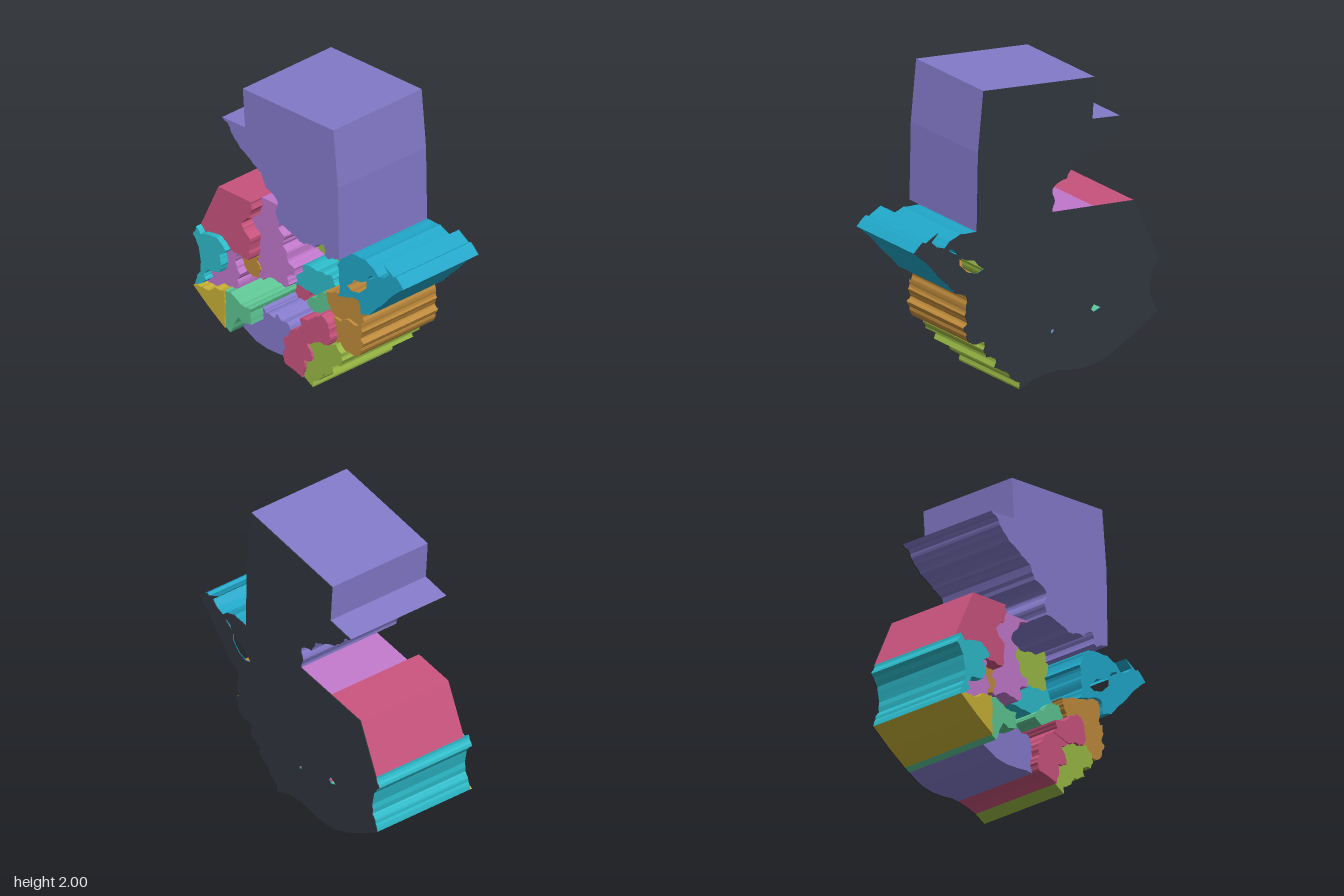
import * as THREE from 'three';

const BACK = -0.37, PLATE = 0.006;

const mat = (name, color) => {
  const m = new THREE.MeshStandardMaterial({ color });
  m.name = name;
  return m;
};

// Shared borders in hundredths: [roughness, x, y, x, y, ...]
const S = 0, C = 0.04, R = 0.13;
const borders = {
  // outer edges
  northTop: [S, -63, 164, -42, 166, -44, 193, 39, 200, 43, 160, 44, 109],
  northWest: [R, -63, 164, -58, 162, -55, 157, -48, 151, -41, 147, -35, 143, -27, 140, -23, 131, -14, 128, -12, 125, -14, 118, -12, 111],
  eastCoast: [C, 44, 109, 56, 110, 64, 107, 68, 103, 74, 105, 78, 109, 73, 114, 82, 109, 84, 110, 91, 104, 86, 100, 78, 92, 72, 85, 65, 78, 60, 72, 52, 69],
  eastUpper: [R, 52, 69, 51, 66, 52, 62],
  eastLower: [R, 52, 62, 53, 56, 51, 51, 54, 48, 51, 40, 45, 36, 38, 36],
  southEast: [R, 38, 36, 39, 31, 37, 26, 30, 24, 31, 18, 22, 14, 18, 8, 12, 5, 12, 0],
  coastA: [S, 12, 0, 4, 4],
  coastB: [S, 4, 4, -4, 6, -12, 7],
  coastC: [S, -12, 7, -18, 7, -24, 6, -35, 5, -45, 6, -57, 11],
  coastD: [S, -57, 11, -61, 13],
  coastE: [S, -61, 13, -75, 21, -90, 31],
  westEdge: [R, -90, 31, -88, 38, -85, 42, -86, 56, -92, 66, -89, 73],
  northWestEdge: [S, -89, 73, -73, 107, -43, 109],
  plainTop: [S, -43, 109, -12, 111],
  // northern inner borders
  northOlive: [R, -12, 111, 0, 109, 8, 106, 15, 108, 22, 108, 30, 114, 31, 106, 34, 105],
  northEast: [R, 34, 105, 37, 107, 44, 109],
  oliveEast: [R, 34, 105, 33, 100, 30, 95, 32, 88, 33, 80, 31, 73],
  eastOrange: [R, 31, 73, 38, 75, 45, 78, 50, 78, 52, 69],
  oliveOrange: [R, 31, 73, 24, 71, 17, 69],
  oliveCyan: [R, -13, 71, 0, 72, 8, 73, 13, 75, 15, 71, 17, 69],
  oliveMagenta: [R, -12, 111, -20, 108, -25, 100, -28, 94, -22, 90, -24, 83, -20, 79, -19, 73, -13, 71],
  crimsonMagenta: [R, -43, 109, -42, 104, -44, 97, -52, 90, -49, 85, -44, 82, -45, 73, -46, 66],
  crimsonCyan: [R, -89, 73, -85, 69, -80, 71, -70, 73, -65, 70, -62, 67],
  crimsonPink: [R, -58, 66, -62, 67],
  crimsonOrange: [R, -46, 66, -54, 67, -58, 66],
  // eastern inner borders
  cyanOrange: [R, 17, 69, 18, 65],
  greenOrange: [R, 18, 65, 21, 60, 22, 57],
  upperLower: [R, 26, 55, 33, 55, 38, 59, 47, 58, 52, 62],
  roseUpper: [R, 22, 57, 26, 55],
  roseLower: [R, 26, 55, 29, 50, 30, 42, 28, 38],
  lowerSouth: [R, 28, 38, 33, 40, 38, 36],
  roseSouthEast: [R, 28, 38, 20, 37, 14, 34],
  roseSouth: [R, 0, 37, 7, 36, 14, 34],
  roseCentre: [R, 0, 37, 4, 41, 2, 46],
  roseGreen: [R, 2, 46, 10, 48, 16, 54, 22, 57],
  greenCentre: [R, 2, 46, -4, 50, -2, 54],
  greenCyan: [R, -2, 54, 5, 58, 9, 63, 18, 65],
  southPair: [R, 14, 34, 8, 30, 12, 24, 13, 20, 5, 17, 6, 11, 4, 4],
  // central inner borders
  magentaCyan: [R, -13, 71, -13, 66, -20, 63, -18, 57, -21, 54],
  cyanBlock: [R, -21, 54, -16, 55],
  cyanCentre: [R, -16, 55, -10, 54, -2, 54],
  blockMagenta: [R, -37, 54, -30, 55, -21, 54],
  blockCentre: [R, -16, 55, -17, 49, -20, 46],
  blockYellow: [R, -20, 46, -24, 40, -26, 34],
  blockSouth: [R, -26, 34, -28, 30, -36, 30, -39, 33],
  blockGreen: [R, -39, 33, -38, 36],
  blockLake: [R, -37, 54, -39, 46, -37, 40, -38, 36],
  yellowCentre: [R, -20, 46, -17, 43, -16, 36, -17, 32],
  yellowSouth: [R, -17, 32, -22, 31, -26, 34],
  centreSouth: [R, -17, 32, -14, 29, -13, 25],
  centreRose: [R, -13, 25, -8, 30, -6, 34, 0, 37],
  southRose: [R, -13, 25, -12, 18, -14, 12, -12, 7],
  // western inner borders
  southGreen: [R, -39, 33, -38, 25, -45, 23, -50, 25, -54, 18, -57, 11],
  greenYellow: [C, -61, 13, -61, 30, -62, 39],
  yellowPink: [R, -86, 33, -76, 33, -70, 38, -62, 39],
  yellowCyan: [R, -90, 31, -86, 33],
  greenPink: [R, -62, 39, -57, 40],
  greenLake: [R, -57, 40, -50, 37, -44, 35, -38, 36],
  pinkLake: [R, -57, 40, -58, 46, -55, 51],
  lakeOrange: [R, -55, 51, -50, 49, -45, 51],
  lakeMagenta: [R, -45, 51, -42, 50, -37, 54],
  orangeMagenta: [R, -45, 51, -43, 57, -47, 62, -46, 66],
  orangePink: [R, -58, 66, -60, 58, -58, 54, -55, 51],
  pinkCyan: [R, -62, 67, -68, 62, -66, 55, -68, 49, -78, 47, -82, 42, -80, 38, -86, 33],
};

// Regions: name, colour, front z, borders in order round the edge, holes
const regions = [
  ['northBlock', 'purple', 0.37, 'northTop northEast northOlive northWest'],
  ['eastCoastBlock', 'teal', 0.26, 'northEast eastCoast eastOrange oliveEast',
    [[39, 84, 43, 87, 46, 91, 52, 92, 57, 95, 57, 90, 51, 84, 44, 82], [58, 97, 61, 98, 65, 101, 64, 102, 60, 100]]],
  ['northOliveBlock', 'olive', -0.03, 'northOlive oliveEast oliveOrange oliveCyan oliveMagenta'],
  ['northMagentaBlock', 'magenta', 0.22, 'plainTop oliveMagenta magentaCyan blockMagenta lakeMagenta orangeMagenta crimsonMagenta'],
  ['northWestBlock', 'crimson', 0.31, 'northWestEdge crimsonMagenta crimsonOrange crimsonPink crimsonCyan'],
  ['westBlock', 'cyan', 0.35, 'westEdge crimsonCyan pinkCyan yellowCyan'],
  ['westMagentaBlock', 'magenta', 0.29, 'pinkCyan crimsonPink orangePink pinkLake greenPink yellowPink'],
  ['westOrangeBlock', 'orange', 0.23, 'crimsonOrange orangeMagenta lakeOrange orangePink'],
  ['lakeBlock', 'teal', -0.06, 'lakeOrange lakeMagenta blockLake greenLake pinkLake',
    [[-48, 42, -43, 45, -41, 42, -43, 40]]],
  ['southWestYellowBlock', 'yellow', 0.365, 'coastE greenYellow yellowPink yellowCyan'],
  ['southWestGreenBlock', 'green', 0.355, 'coastD southGreen blockGreen greenLake greenPink greenYellow'],
  ['southBlock', 'purple', 0.25, 'coastC southRose centreSouth yellowSouth blockSouth southGreen'],
  ['midCrimsonBlock', 'crimson', -0.02, 'blockMagenta cyanBlock blockCentre blockYellow blockSouth blockGreen blockLake'],
  ['midYellowBlock', 'yellow', -0.1, 'blockYellow yellowCentre yellowSouth'],
  ['centreBlock', 'teal', -0.2, 'cyanCentre greenCentre roseCentre centreRose centreSouth yellowCentre blockCentre',
    [[-13, 35, -11, 34, -11, 32, -13, 33]]],
  ['midCyanBlock', 'cyan', 0.15, 'oliveCyan cyanOrange greenCyan cyanCentre cyanBlock magentaCyan'],
  ['midGreenBlock', 'green', 0.2, 'greenCyan greenOrange roseGreen greenCentre'],
  ['eastUpperBlock', 'orange', 0.235, 'eastOrange eastUpper upperLower roseUpper greenOrange cyanOrange oliveOrange'],
  ['eastLowerBlock', 'orange', 0.255, 'upperLower eastLower lowerSouth roseLower'],
  ['midRoseBlock', 'crimson', 0.315, 'roseGreen roseUpper roseLower roseSouthEast roseSouth roseCentre'],
  ['southRoseBlock', 'crimson', 0.31, 'centreRose roseSouth southPair coastB southRose'],
  ['southEastBlock', 'olive', 0.295, 'roseSouthEast lowerSouth southEast coastA southPair'],
];

const toPoints = (a) => {
  const out = [];
  for (let i = 0; i < a.length; i += 2) out.push(new THREE.Vector2(a[i] / 100, a[i + 1] / 100));
  return out;
};

// Break each stretch in two with a small sideways step, twice over
function roughen(points, amount, rand) {
  for (let level = 0; level < 2 && amount > 0; level++) {
    const out = [points[0]];
    for (let i = 1; i < points.length; i++) {
      const a = points[i - 1], b = points[i], k = (rand() * 2 - 1) * amount;
      out.push(new THREE.Vector2((a.x + b.x) / 2 - (b.y - a.y) * k, (a.y + b.y) / 2 + (b.x - a.x) * k), b);
    }
    points = out;
  }
  return points;
}

// Join borders end to end, turning each to meet the last
function outline(keys, lines) {
  const parts = keys.split(' ').map((k) => lines[k]);
  const near = (p, q) => p.distanceTo(q) < 1e-6;
  const [first, second] = parts;
  const end = first[first.length - 1];
  const ok = near(end, second[0]) || near(end, second[second.length - 1]);
  const pts = ok ? [...first] : [...first].reverse();
  for (const part of parts.slice(1)) {
    const line = near(pts[pts.length - 1], part[0]) ? part : [...part].reverse();
    pts.push(...line.slice(1));
  }
  pts.pop();
  return pts;
}

export function createModel() {
  const group = new THREE.Group();
  group.name = 'reliefMap';
  const mats = {
    purple: mat('purple', 0x857bcc), crimson: mat('crimson', 0xc9537d),
    magenta: mat('magenta', 0xc278cc), olive: mat('olive', 0x9aba45),
    teal: mat('teal', 0x21a8ca), cyan: mat('cyan', 0x2dbccb),
    orange: mat('orange', 0xc08b3c), green: mat('green', 0x5dc593),
    yellow: mat('yellow', 0xc8b136), dark: mat('darkSlate', 0x31363f),
  };

  let seed = 7;
  const rand = () => (seed = (seed * 16807) % 2147483647) / 2147483647;
  const lines = {};
  for (const [key, [rough, ...xy]] of Object.entries(borders)) lines[key] = roughen(toPoints(xy), rough, rand);

  const slab = (name, shape, z0, z1, material) => {
    const geo = new THREE.ExtrudeGeometry(shape, { depth: z1 - z0, bevelEnabled: false });
    const mesh = new THREE.Mesh(geo.translate(0, 0, z0), material);
    mesh.name = name;
    group.add(mesh);
  };

  for (const [name, color, front, keys, holes = []] of regions) {
    const shape = new THREE.Shape(outline(keys, lines));
    shape.holes = holes.map((h) => new THREE.Path(toPoints(h)));
    slab(name, shape, BACK + PLATE, front, mats[color]);
    // thin dark backing under each block
    slab(name + 'Backing', shape, BACK, BACK + PLATE, mats.dark);
  }
  return group;
}
